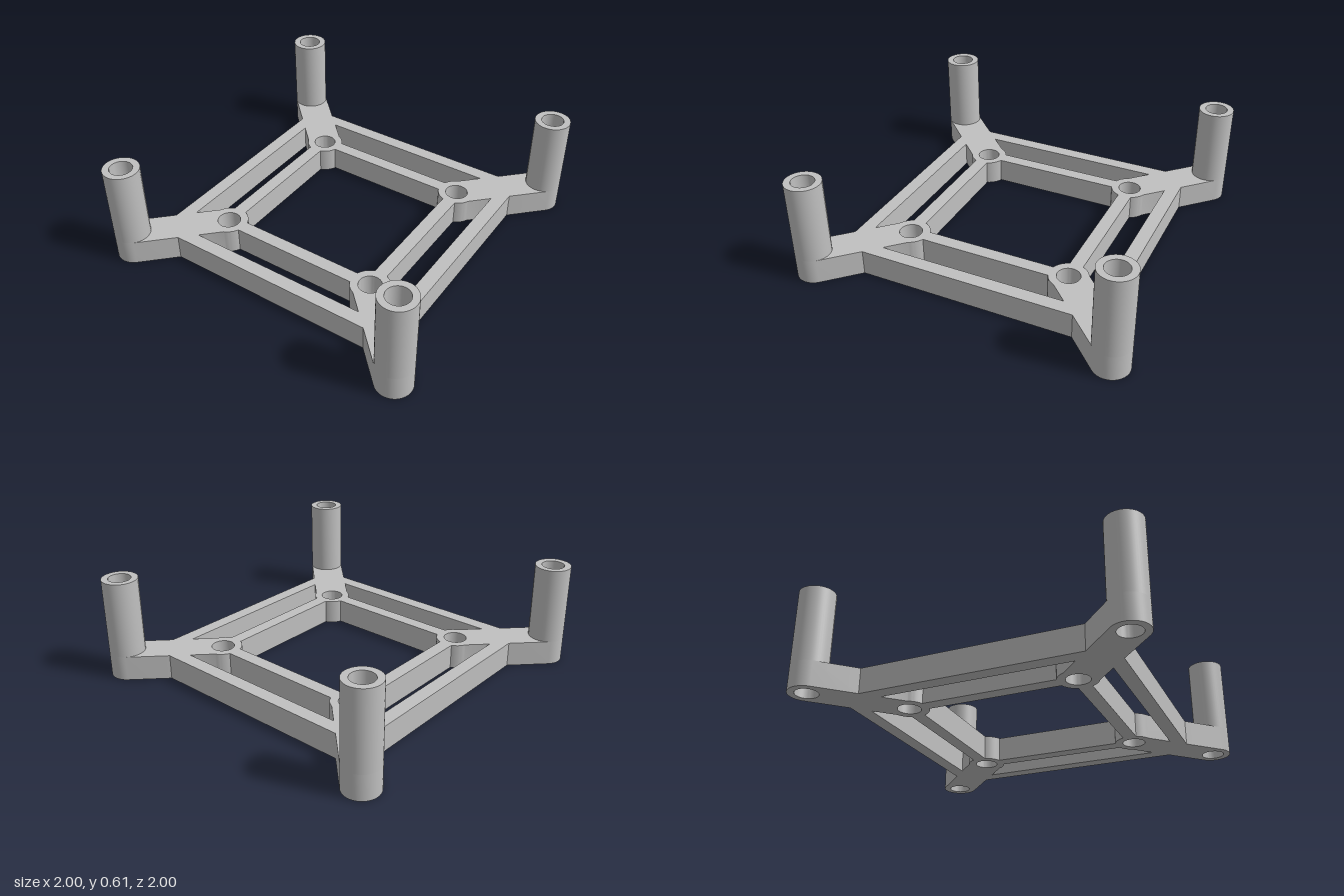
import * as THREE from 'three';
import { toCreasedNormals } from 'three/addons/utils/BufferGeometryUtils.js';

const V = (x, y) => new THREE.Vector2(x, y);
const POST = 0.895, POST_R = 0.105, POST_HOLE = 0.066;
const BOSS = 0.497, BOSS_R = 0.113, BOSS_HOLE = 0.067;
const BAR_OUT = 0.788, BAR_IN = 0.705;        // outer frame edges
const RING_OUT = 0.54, RING_IN = 0.46;        // inner frame edges
const PLATE_H = 0.15, POST_H = 0.607;

// Points along an arc, both ends included
function arc(cx, cy, r, a0, a1, n = 24) {
  return Array.from({ length: n + 1 }, (_, i) => {
    const a = a0 + (a1 - a0) * i / n;
    return V(cx + r * Math.cos(a), cy + r * Math.sin(a));
  });
}
const circle = (cx, cy, r) => new THREE.Path(arc(cx, cy, r, 0, Math.PI * 2, 48).slice(0, -1));
const turn = (pts, k) => pts.map(p => p.clone().rotateAround(V(0, 0), k * Math.PI / 2));
const allTurns = pts => [0, 1, 2, 3].flatMap(k => turn(pts, k));

// Extrude a plan upwards from height y
function extrudeUp(shape, y, height) {
  const g = new THREE.ExtrudeGeometry(shape, { depth: height, bevelEnabled: false });
  g.rotateX(-Math.PI / 2).translate(0, y, 0);
  return toCreasedNormals(g, 0.5);
}

export function createModel() {
  const model = new THREE.Group();
  const grey = new THREE.MeshStandardMaterial({ color: 0xc0c0c0 });
  grey.name = 'grey plastic';
  const corners = [[1, 1], [-1, 1], [-1, -1], [1, -1]];

  // Frame outline: square with diagonal arms rounded at the ends
  const armOffset = POST_R * Math.SQRT2;
  const frame = new THREE.Shape(allTurns([
    V(BAR_OUT, BAR_OUT - armOffset),
    ...arc(POST, POST, POST_R, -Math.PI / 4, Math.PI * 3 / 4),
    V(BAR_OUT - armOffset, BAR_OUT),
  ]));

  // Central opening, notched by the four bosses
  const inner = Math.asin((BOSS - RING_IN) / BOSS_R);
  frame.holes.push(new THREE.Path(allTurns(
    arc(BOSS, BOSS, BOSS_R, Math.PI * 1.5 - inner, Math.PI + inner, 12))));

  // Four slots between the inner and outer bars
  const armAngle = Math.PI * 3 / 4 - Math.acos(POST_R / BOSS_R);
  const barAngle = Math.PI - Math.asin((RING_OUT - BOSS) / BOSS_R);
  const half = [V(BAR_IN - armOffset, BAR_IN), ...arc(BOSS, BOSS, BOSS_R, armAngle, barAngle, 10)];
  const slot = [...half, ...half.map(p => V(-p.x, p.y)).reverse()];
  for (let k = 0; k < 4; k++) frame.holes.push(new THREE.Path(turn(slot, k)));

  // Screw holes through bosses and post feet
  for (const [sx, sy] of corners) {
    frame.holes.push(circle(sx * BOSS, sy * BOSS, BOSS_HOLE));
    frame.holes.push(circle(sx * POST, sy * POST, POST_HOLE));
  }
  const plate = new THREE.Mesh(extrudeUp(frame, 0, PLATE_H), grey);
  plate.name = 'frame';
  model.add(plate);

  // Hollow corner posts
  const ring = new THREE.Shape(circle(0, 0, POST_R).getPoints());
  ring.holes.push(circle(0, 0, POST_HOLE));
  const postGeo = extrudeUp(ring, PLATE_H, POST_H - PLATE_H);
  corners.forEach(([sx, sz]) => {
    const post = new THREE.Mesh(postGeo, grey);
    post.name = (sz > 0 ? 'front' : 'back') + (sx > 0 ? 'Left' : 'Right') + 'Post';
    post.position.set(sx * POST, 0, sz * POST);
    model.add(post);
  });
  return model;
}
